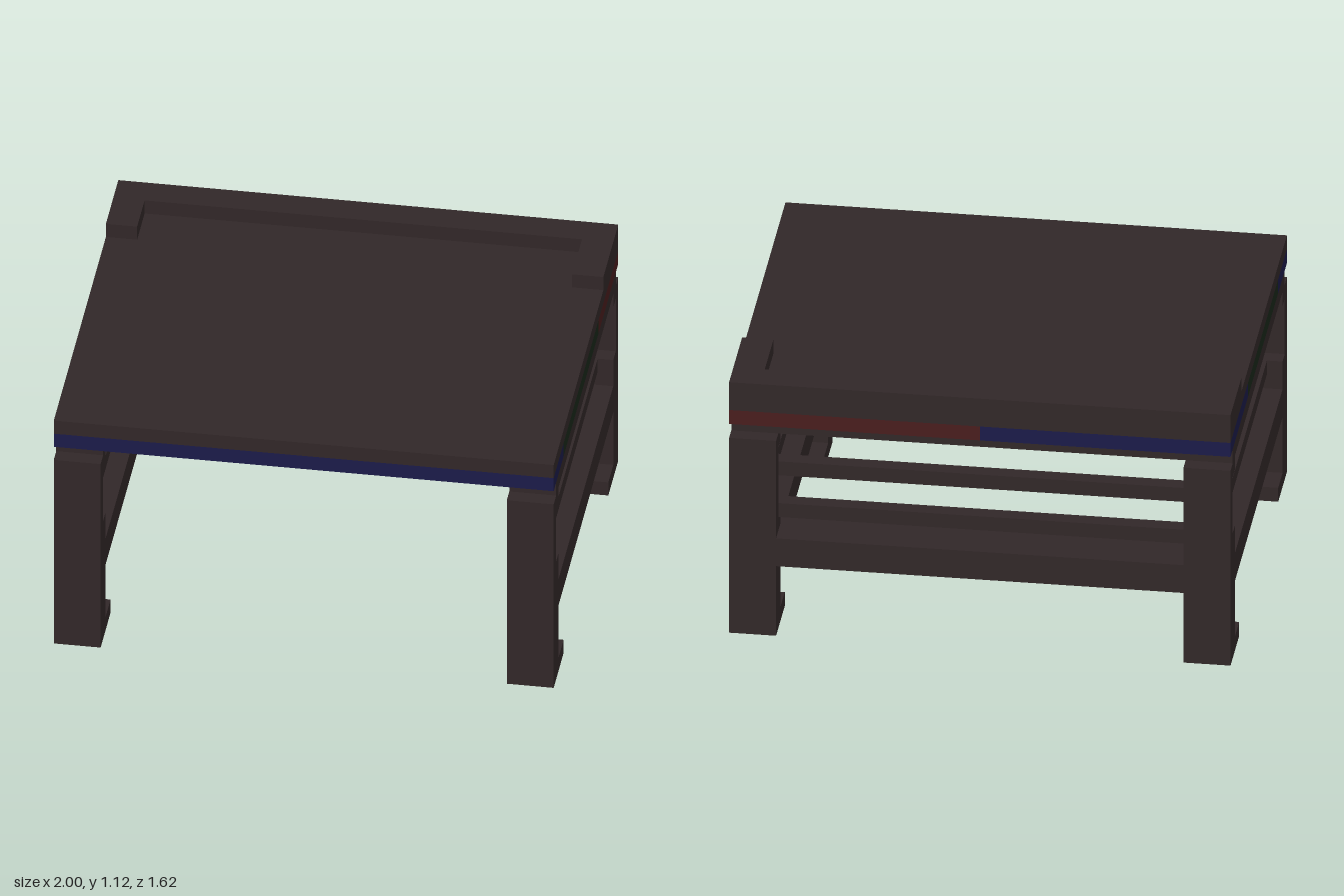
import * as THREE from 'three';

const mat = (name, color) => new THREE.MeshStandardMaterial({ name, color });

export function createModel() {
  const group = new THREE.Group();
  group.name = 'lowTable';
  const wood = mat('darkWood', 0x312728);
  const blue = mat('navyBlue', 0x1b1b49);
  const green = mat('darkGreen', 0x1a271a);
  const red = mat('darkRed', 0x491d1d);

  // Box given by its min and max on each axis
  const box = (name, material, x0, x1, y0, y1, z0, z1) => {
    const mesh = new THREE.Mesh(new THREE.BoxGeometry(x1 - x0, y1 - y0, z1 - z0), material);
    mesh.position.set((x0 + x1) / 2, (y0 + y1) / 2, (z0 + z1) / 2);
    mesh.name = name;
    group.add(mesh);
  };

  const X = 1, Z = 0.8125, u = 0.0625;

  // Table top and the filler board inside the coloured edging
  box('tableTop', wood, -X, X, 1, 1.0625, -Z, Z);
  box('underBoard', wood, -X + u, X - u, 0.9375, 1, -Z + u, Z - u);

  // Raised rim along the back with two short arms
  box('backRim', wood, -X, X, 1.0625, 1.125, -Z, -0.6875);
  box('rightRimArm', wood, -X, -0.875, 1.0625, 1.125, -0.6875, -0.5);
  box('leftRimArm', wood, 0.875, X, 1.0625, 1.125, -0.6875, -0.4375);

  // Coloured edging strips
  const edge = (name, m, x0, x1, z0, z1) => box(name, m, x0, x1, 0.9375, 1, z0, z1);
  edge('frontEdge', blue, -X, X, Z - u, Z);
  edge('backEdgeRed', red, 0, X, -Z, -Z + u);
  edge('backEdgeBlue', blue, -X, 0, -Z, -Z + u);
  for (const s of [-1, 1]) {
    const [x0, x1] = s > 0 ? [X - u, X] : [-X, -X + u];
    edge('sideEdgeFront', blue, x0, x1, 0.5625, Z - u);
    edge('sideEdgeMiddle', green, x0, x1, -0.3125, 0.5625);
    edge('sideEdgeBack', s > 0 ? red : blue, x0, x1, -Z + u, -0.3125);
  }

  // Leg profile (z, y): inward foot, thick lower part, thin neck, bracket on top
  const profile = [
    [0.8125, 0], [0.8125, 0.875], [0.6875, 0.875], [0.6875, 0.8125], [0.75, 0.8125],
    [0.75, 0.5625], [0.6875, 0.5625], [0.6875, 0.0625], [0.5625, 0.0625], [0.5625, 0],
  ];
  const legGeometry = new THREE.ExtrudeGeometry(
    new THREE.Shape(profile.map(([z, y]) => new THREE.Vector2(z, y))),
    { depth: 0.1875, bevelEnabled: false },
  );
  legGeometry.translate(0, 0, -0.09375);
  for (const x of [-0.90625, 0.90625]) {
    for (const front of [true, false]) {
      const leg = new THREE.Mesh(legGeometry, wood);
      leg.name = front ? 'frontLeg' : 'backLeg';
      leg.rotation.y = front ? -Math.PI / 2 : Math.PI / 2;
      leg.position.x = x;
      group.add(leg);
    }
  }

  // Side rails, mirrored
  for (const s of [-1, 1]) {
    const rail = (name, a, b, y0, y1, z) =>
      box(name, wood, Math.min(s * a, s * b), Math.max(s * a, s * b), y0, y1, -z, z);
    rail('sideTopRail', 0.8125, 1, 0.875, 0.9375, 0.75);
    rail('sideUpperRail', 0.875, 0.9375, 0.6875, 0.75, 0.75);
    rail('sideMiddleRail', 0.875, 0.9375, 0.5, 0.5625, 0.6875);
    rail('sideLowerRail', 0.8125, 1, 0.3125, 0.4375, 0.6875);
  }

  // Back rails
  box('backTopRail', wood, -0.8125, 0.8125, 0.875, 0.9375, -0.75, -0.6875);
  box('backUpperRail', wood, -0.875, 0.875, 0.6875, 0.75, -0.75, -0.6875);
  box('backMiddleRail', wood, -0.8125, 0.8125, 0.5, 0.5625, -0.75, -0.6875);
  box('backLowerRail', wood, -0.8125, 0.8125, 0.3125, 0.4375, -0.8125, -0.625);

  return group;
}
